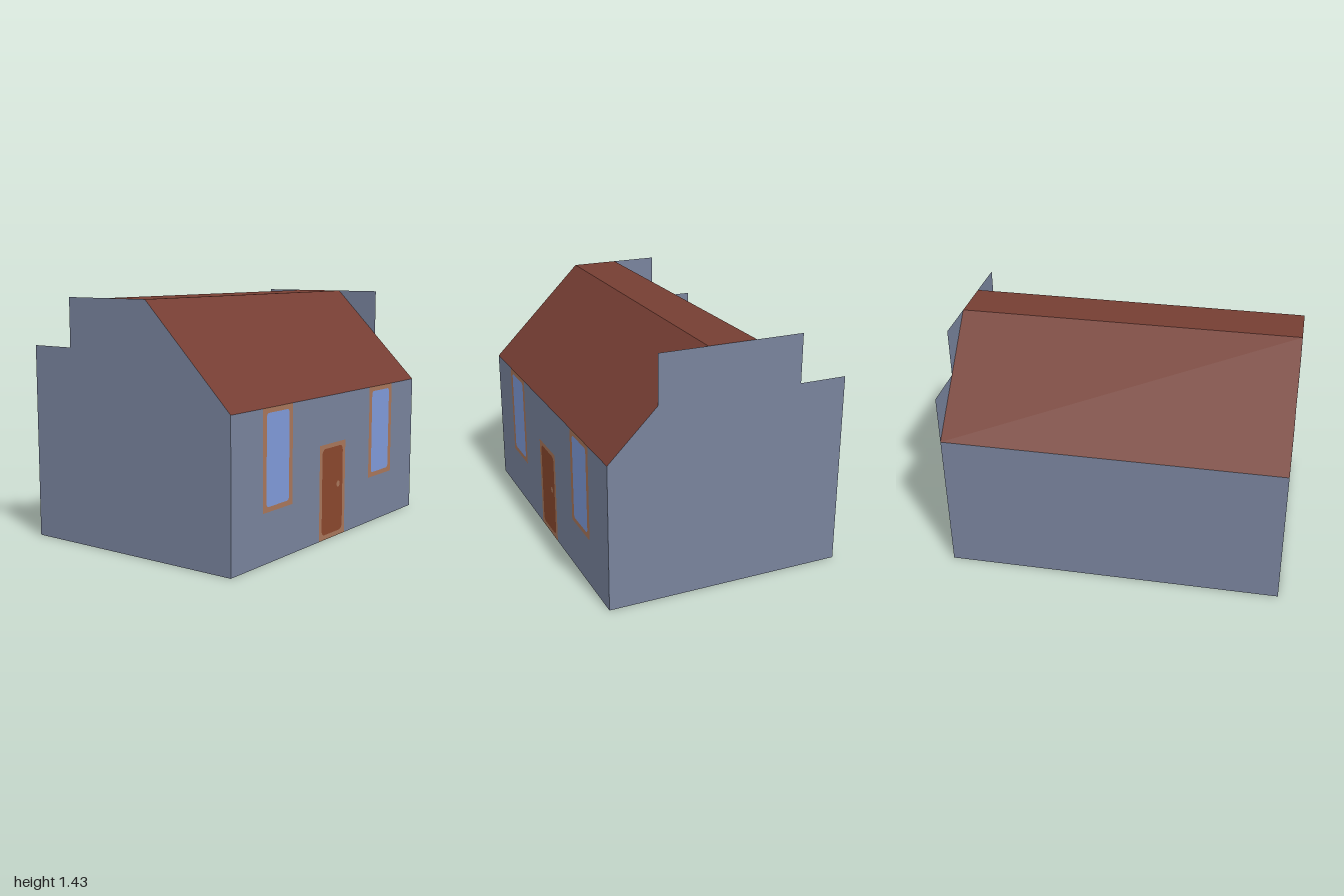
import * as THREE from 'three';

const U = 1 / 7; // the house is laid out on a grid of sevenths

const paint = (name, color) => {
  const m = new THREE.MeshStandardMaterial({ color, side: THREE.DoubleSide });
  m.name = name;
  return m;
};

const outline = (pts, Kind = THREE.Shape) =>
  new Kind(pts.map(([x, y]) => new THREE.Vector2(x * U, y * U)));

// Rounded rectangle in grid units, as a shape or a hole
function roundedRect(x0, y0, x1, y1, r, Kind = THREE.Shape) {
  const pts = [];
  const corners = [[x1 - r, y1 - r], [x0 + r, y1 - r], [x0 + r, y0 + r], [x1 - r, y0 + r]];
  corners.forEach(([cx, cy], i) => {
    for (let k = 0; k <= 4; k++) {
      const a = (i + k / 4) * Math.PI / 2;
      pts.push([cx + r * Math.cos(a), cy + r * Math.sin(a)]);
    }
  });
  return outline(pts, Kind);
}

// Full-width flat panel between two [z, y] profile points
function panel([z0, y0], [z1, y1]) {
  const g = new THREE.BufferGeometry();
  const p = [-7, y0, z0, 7, y0, z0, 7, y1, z1, -7, y1, z1].map((v) => v * U);
  g.setAttribute('position', new THREE.Float32BufferAttribute(p, 3));
  g.setIndex([0, 1, 2, 0, 2, 3]);
  g.computeVertexNormals();
  return g;
}

export function createModel() {
  const house = new THREE.Group();
  house.name = 'house';
  const wall = paint('slate wall', 0x78839c);
  const roof = paint('brick roof', 0x763e33);
  const trim = paint('wood trim', 0xa8765a);
  const wood = paint('door wood', 0x8a472d);
  const glass = paint('window glass', 0x7f9ad9);

  const add = (name, geometry, material, parent = house) => {
    const mesh = new THREE.Mesh(geometry, material);
    mesh.name = name;
    parent.add(mesh);
    return mesh;
  };
  const flat = (name, shape, material, parent) =>
    add(name, new THREE.ShapeGeometry(shape, 16), material, parent);

  // Front wall, notched for the door and both windows
  const front = new THREE.Group();
  front.name = 'front';
  front.position.z = 5 * U;
  house.add(front);
  flat('frontWall', outline([
    [-7, 0], [-1, 0], [-1, 4], [1, 4], [1, 0], [7, 0], [7, 6],
    [5, 6], [5, 2], [3, 2], [3, 6], [-3, 6], [-3, 2], [-5, 2], [-5, 6], [-7, 6],
  ]), wall, front);

  // Framed openings filling the notches
  const frame = (name, x, y0, y1, holes) => {
    const s = outline([[x - 1, y0], [x + 1, y0], [x + 1, y1], [x - 1, y1]]);
    s.holes.push(...holes);
    return flat(name, s, trim, front);
  };
  for (const [side, x] of [['left', 4], ['right', -4]]) {
    const box = [x - 0.76, 2.2, x + 0.76, 5.8, 0.15];
    frame(side + 'WindowFrame', x, 2, 6, [roundedRect(...box, THREE.Path)]);
    flat(side + 'WindowGlass', roundedRect(...box), glass, front);
  }

  // Door leaf with a round knob set into it
  const doorBox = [-0.8, 0.2, 0.8, 3.82, 0.22];
  frame('doorFrame', 0, 0, 4, [roundedRect(...doorBox, THREE.Path)]);
  const leaf = roundedRect(...doorBox);
  const knob = [0.33, 2.07, 0.59, 2.33, 0.13];
  leaf.holes.push(roundedRect(...knob, THREE.Path));
  flat('door', leaf, wood, front);
  flat('doorKnob', roundedRect(...knob), trim, front);

  // Back wall and the three roof planes
  add('backWall', panel([-5, 6], [-5, 0]), wall);
  add('roofFront', panel([5, 6], [1, 10]), roof);
  add('roofRidge', panel([1, 10], [-1, 10]), roof);
  add('roofBack', panel([-1, 10], [-5, 6]), roof);

  // Side walls: stepped parapet at the back, only the left one steps up in front too
  const back = [[-3, 10], [-3, 8], [-5, 8], [-5, 0]];
  const sides = {
    leftWall: [7, [[5, 0], [5, 6], [3, 8], [3, 10], ...back]],
    rightWall: [-7, [[5, 0], [5, 6], [1, 10], ...back]],
  };
  for (const [name, [x, pts]] of Object.entries(sides)) {
    const mesh = flat(name, outline(pts), wall);
    mesh.rotation.y = -Math.PI / 2;
    mesh.position.x = x * U;
  }
  return house;
}
